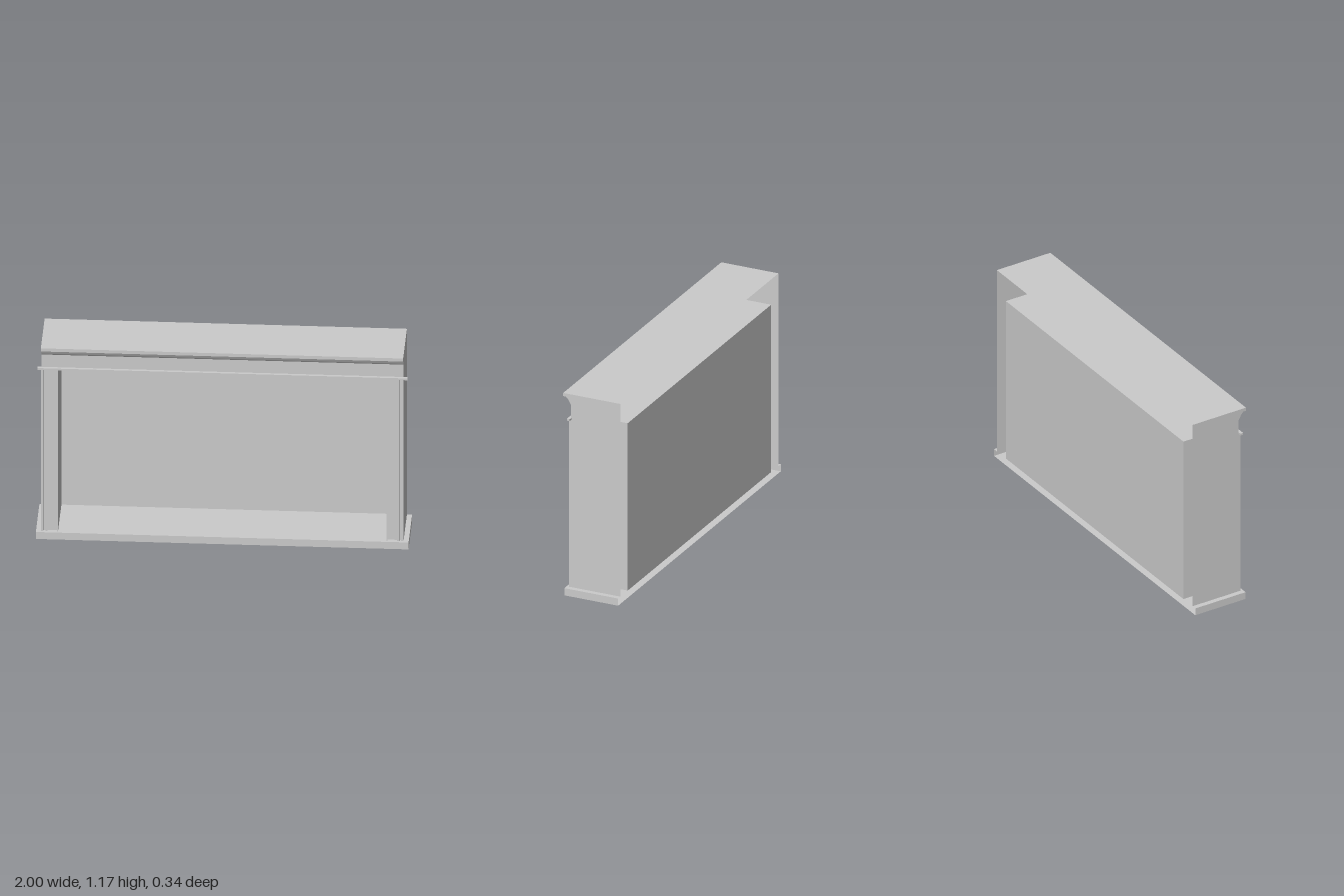
import * as THREE from 'three';
import { toCreasedNormals } from 'three/addons/utils/BufferGeometryUtils.js';

const material = new THREE.MeshStandardMaterial({ color: 0xcccccc, side: THREE.DoubleSide });

// Sweep an open polyline of [x,y,z] points along a straight vector, as a thin sheet.
function sheet(name, points, along) {
  const pos = [];
  const shift = (p) => p.map((v, i) => v + along[i]);
  for (let i = 0; i < points.length - 1; i++) {
    const a = points[i], b = points[i + 1], c = shift(b), d = shift(a);
    pos.push(...a, ...b, ...c, ...a, ...c, ...d);
  }
  const g = new THREE.BufferGeometry();
  g.setAttribute('position', new THREE.Float32BufferAttribute(pos, 3));
  g.computeVertexNormals();
  const mesh = new THREE.Mesh(toCreasedNormals(g, 0.5), material);
  mesh.name = name;
  return mesh;
}

export function createModel() {
  const group = new THREE.Group();
  group.name = 'bookcaseSurround';
  const BACK = -0.17, FRONT = 0.137, FRIEZE = 0.123, W = 0.972, TOP = 1.168;
  const FLOOR = 0.042, SILL = 1.02, TRIM = 1.031, NICHE = 0.882;

  // Crown profile as [z, y], from the top lip down the cove to the frieze
  const cove = new THREE.CubicBezierCurve(
    new THREE.Vector2(0.152, 1.145), new THREE.Vector2(0.14, 1.143),
    new THREE.Vector2(0.134, 1.117), new THREE.Vector2(FRIEZE, 1.106));
  const crown = [[0.17, TOP], [0.17, 1.149], [0.153, 1.149],
    ...cove.getPoints(10).map((p) => [p.x, p.y]), [FRIEZE, SILL]];
  group.add(sheet('crownMoulding', crown.map(([z, y]) => [-W, y, z]), [2 * W, 0, 0]));
  group.add(sheet('topPanel', [[-W, TOP, BACK], [-W, TOP, 0.17]], [2 * W, 0, 0]));

  // Thin trim rail between the frieze and the opening
  const trim = new THREE.Mesh(new THREE.BoxGeometry(1.985, TRIM - SILL, 0.017), material);
  trim.name = 'trimRail';
  trim.position.set(0, (TRIM + SILL) / 2, 0.1305);
  group.add(trim);

  // Outer side panels follow the crown profile
  const outline = new THREE.Shape();
  outline.moveTo(BACK, FLOOR);
  outline.lineTo(BACK, TOP);
  crown.forEach(([z, y]) => outline.lineTo(z, y));
  outline.lineTo(0.135, SILL);
  outline.lineTo(0.135, FLOOR);

  for (const s of [1, -1]) {
    const side = new THREE.Mesh(new THREE.ShapeGeometry(outline), material);
    side.name = s > 0 ? 'leftSidePanel' : 'rightSidePanel';
    side.rotation.y = -Math.PI / 2;
    side.position.x = s * W;
    group.add(side);

    // Pilaster: inner lip, recessed panel, and two outer beads, as [x, z]
    const section = [[NICHE, FRONT], [0.886, FRONT], [0.886, FRIEZE], [0.938, FRIEZE],
      [0.938, FRONT], [0.949, FRONT], [0.949, 0.125], [0.959, 0.125], [0.959, 0.135], [W, 0.135]];
    group.add(sheet(s > 0 ? 'leftPilaster' : 'rightPilaster',
      section.map(([x, z]) => [s * x, FLOOR, z]), [0, SILL - FLOOR, 0]));

    // Plinth shoulder beside the case
    group.add(sheet(s > 0 ? 'leftPlinthLedge' : 'rightPlinthLedge',
      [[s * NICHE, FLOOR, FRONT], [s, FLOOR, FRONT]], [0, 0, 0.15 - FRONT]));
    group.add(sheet('plinthSideLedge', [[s * W, FLOOR, BACK], [s, FLOOR, BACK]], [0, 0, FRONT - BACK]));
    group.add(sheet('plinthPilasterSeat', [[s * NICHE, FLOOR, 0.12], [s * W, FLOOR, 0.12]], [0, 0, FRONT - 0.12]));
  }

  // Inner niche, open to the front
  group.add(sheet('nicheWalls', [[-NICHE, FLOOR, BACK], [-NICHE, SILL, BACK], [NICHE, SILL, BACK],
    [NICHE, FLOOR, BACK], [-NICHE, FLOOR, BACK]], [0, 0, FRONT - BACK]));
  group.add(sheet('nicheBack', [[-NICHE, FLOOR, BACK], [NICHE, FLOOR, BACK]], [0, SILL - FLOOR, 0]));

  // Plinth shell, open at the back
  group.add(sheet('plinthBottom', [[-1, 0, BACK], [1, 0, BACK]], [0, 0, 0.15 - BACK]));
  group.add(sheet('plinthSkirt', [[-1, 0, BACK], [-1, 0, 0.15], [1, 0, 0.15], [1, 0, BACK]], [0, FLOOR, 0]));
  group.add(sheet('plinthFrontLedge', [[-NICHE, FLOOR, FRONT], [NICHE, FLOOR, FRONT]], [0, 0, 0.15 - FRONT]));
  return group;
}
